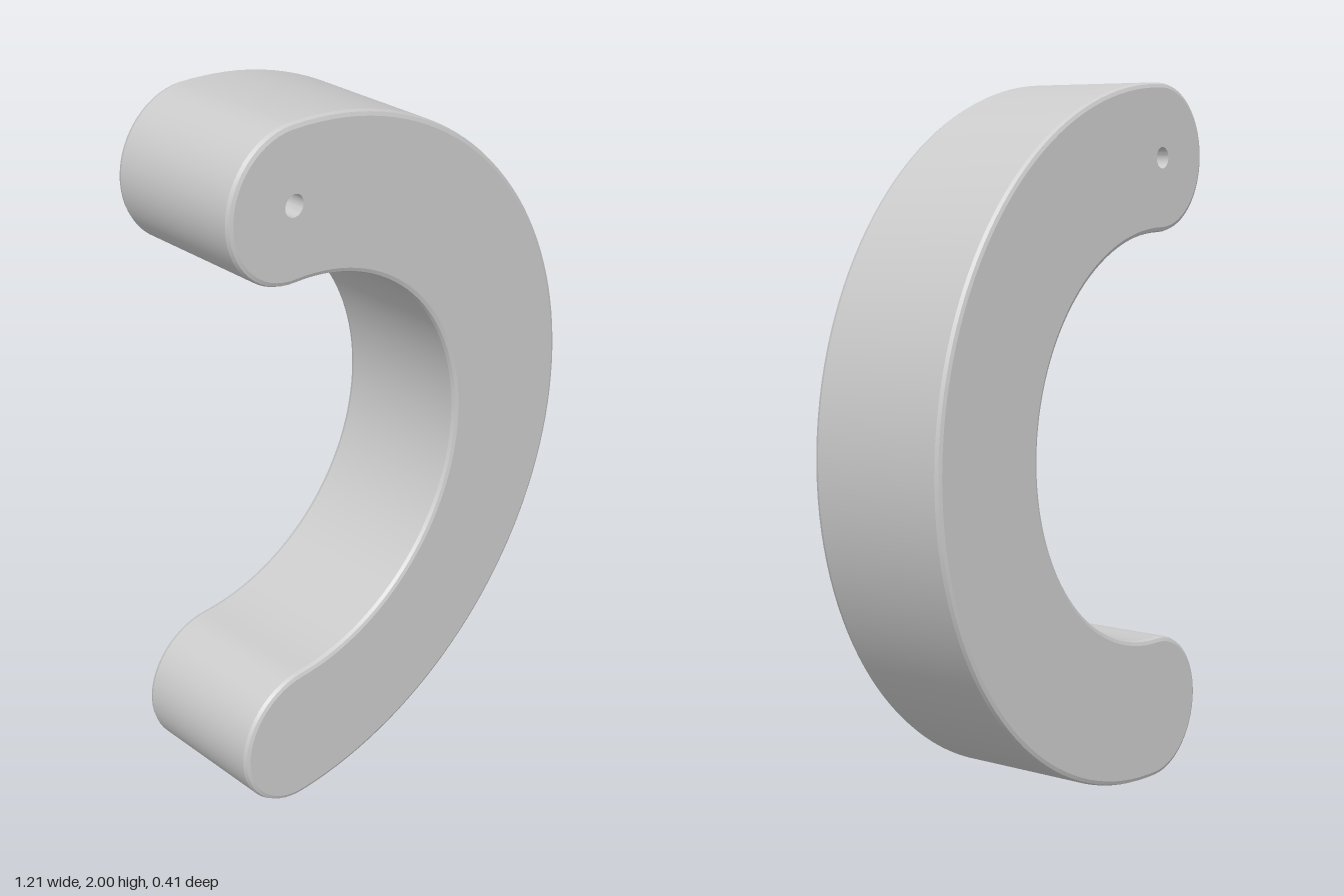
import * as THREE from 'three';
import { toCreasedNormals } from 'three/addons/utils/BufferGeometryUtils.js';

const CX = -0.3975, CY = 1;            // centre of the arc
const OUTER = 1, INNER = 0.585;        // arc radii
const MID = (OUTER + INNER) / 2, CAP = (OUTER - INNER) / 2;
const DEPTH = 0.415, BEVEL = 0.014;
const HOLE = 0.03;

// Points along an arc, leaving out the last one so that arcs join cleanly
function arc(x, y, r, from, to, n) {
  return Array.from({ length: n }, (_, i) => {
    const a = from + (to - from) * i / n;
    return new THREE.Vector2(x + r * Math.cos(a), y + r * Math.sin(a));
  });
}

export function createModel() {
  const group = new THREE.Group();
  group.name = 'curvedBracket';
  const q = Math.PI / 2;
  const top = CY + MID, bottom = CY - MID;

  // Half ring with rounded ends
  const shape = new THREE.Shape([
    ...arc(CX, CY, OUTER, -q, q, 72),
    ...arc(CX, top, CAP, q, 3 * q, 28),
    ...arc(CX, CY, INNER, q, -q, 60),
    ...arc(CX, bottom, CAP, q, 3 * q, 28),
  ]);

  // Small pin hole through the upper end
  shape.holes.push(new THREE.Path(arc(CX, top, HOLE, 0, -4 * q, 24)));

  const geometry = new THREE.ExtrudeGeometry(shape, {
    depth: DEPTH - 2 * BEVEL,
    bevelEnabled: true,
    bevelThickness: BEVEL,
    bevelSize: BEVEL,
    bevelOffset: -BEVEL,
    bevelSegments: 2,
  });
  geometry.translate(0, 0, BEVEL - DEPTH / 2);

  // Keep the hole straight: only the outer rim is rounded
  const p = geometry.attributes.position;
  for (let i = 0; i < p.count; i++) {
    const dx = p.getX(i) - CX, dy = p.getY(i) - top, d = Math.hypot(dx, dy);
    if (d < 0.1) p.setXY(i, CX + dx / d * HOLE, top + dy / d * HOLE);
  }

  const body = new THREE.Mesh(
    toCreasedNormals(geometry, 0.3),
    new THREE.MeshStandardMaterial({ color: 0xcccccc }),
  );
  body.name = 'curvedBody';
  group.add(body);
  return group;
}
